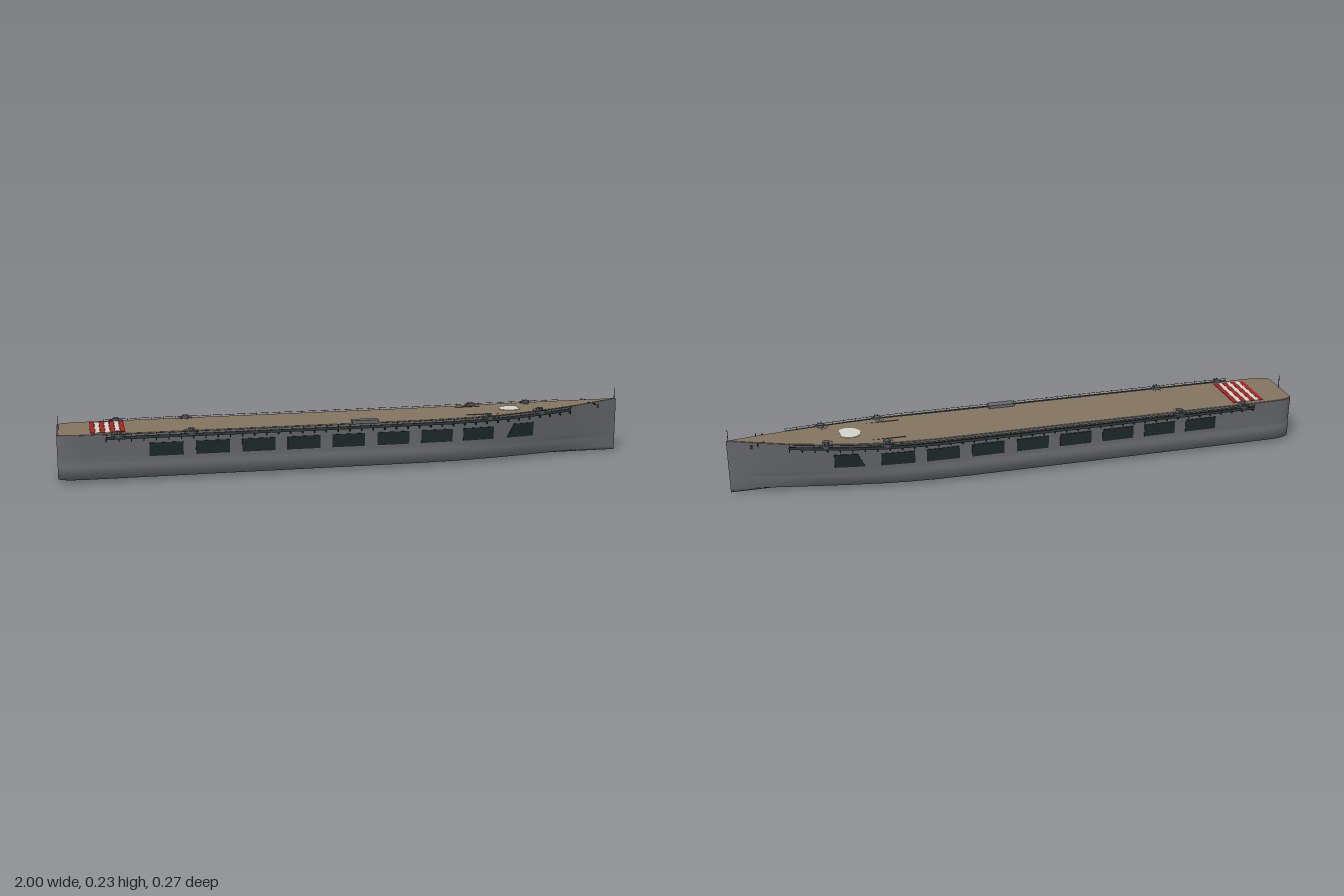
import * as THREE from 'three';

const mat = (name, color, side = THREE.FrontSide) => {
  const m = new THREE.MeshStandardMaterial({ color, side });
  m.name = name;
  return m;
};

// Piecewise-linear lookup in [x, value] pairs
function lookup(table, x) {
  for (let i = 1; i < table.length; i++) {
    const [x0, a] = table[i - 1], [x1, b] = table[i];
    if (x <= x1) return a + (b - a) * Math.max(0, (x - x0) / (x1 - x0));
  }
  return table[table.length - 1][1];
}

// Half-widths at deck and waterline, and the sheer of the deck
const DECK = [[-1, 0.086], [-0.99, 0.097], [-0.975, 0.104], [-0.95, 0.109], [-0.91, 0.111], [0.32, 0.111], [0.42, 0.109],
  [0.5, 0.104], [0.6, 0.092], [0.7, 0.076], [0.8, 0.056], [0.9, 0.03], [1, 0.0008]];
const WATER = [[-1, 0.086], [-0.99, 0.097], [-0.975, 0.104], [-0.95, 0.11], [-0.91, 0.113], [0.2, 0.113], [0.32, 0.11],
  [0.42, 0.103], [0.5, 0.093], [0.6, 0.077], [0.7, 0.058], [0.8, 0.038], [0.9, 0.018], [1, 0.0006]];
const deckW = (x) => lookup(DECK, x);
const waterW = (x) => lookup(WATER, x);
const topY = (x) => 0.162 + 0.028 * Math.max(0, (x - 0.2) / 0.8) ** 2;
const kneeW = (x) => deckW(x) * 0.4 + waterW(x) * 0.6 - 0.004 * waterW(x) / 0.113;
const sideW = (x, y) => THREE.MathUtils.mapLinear(y, 0.072, topY(x), kneeW(x), deckW(x));

// Skin cross-sections [z, y], ordered keel -> +z -> top -> -z, along x
function loft(xs, ring, flat = true) {
  const pos = [], idx = [], rings = xs.map(ring), n = rings[0].length;
  const add = (r, i) => r.forEach(([z, y]) => pos.push(xs[i], y, z));
  rings.forEach(add);
  for (let i = 0; i < xs.length - 1; i++) for (let j = 0; j < n; j++) {
    const k = (j + 1) % n, a = i * n + j, b = i * n + k, c = a + n, d = b + n;
    idx.push(a, c, b, b, c, d);
  }
  for (const end of [0, xs.length - 1]) {
    const s = pos.length / 3;
    add(rings[end], end);
    for (let j = 1; j < n - 1; j++) idx.push(s, ...(end ? [s + j + 1, s + j] : [s + j, s + j + 1]));
  }
  let g = new THREE.BufferGeometry();
  g.setAttribute('position', new THREE.Float32BufferAttribute(pos, 3));
  g.setIndex(idx);
  if (flat) g = g.toNonIndexed();
  g.computeVertexNormals();
  return g;
}

const rect = (za, zb, y0, y1) => {
  const lo = Math.min(za, zb), hi = Math.max(za, zb);
  return [[lo, y0], [hi, y0], [hi, y1], [lo, y1]];
};

export function createModel() {
  const root = new THREE.Group();
  root.name = 'carrierShip';
  const hullGrey = mat('hullGrey', 0x65676c);
  const deckTan = mat('deckTan', 0x83745f);
  const darkGreen = mat('darkGreen', 0x2b3836);
  const panelDark = mat('panelDark', 0x1d2929);
  const gunGrey = mat('gunGrey', 0x565b60, THREE.DoubleSide);
  const red = mat('stripeRed', 0xa82424);
  const white = mat('markingWhite', 0xd2d2c8);

  const add = (name, geo, m, x = 0, y = 0, z = 0, parent = root) => {
    const mesh = new THREE.Mesh(geo, m);
    mesh.name = name;
    mesh.position.set(x, y, z);
    parent.add(mesh);
    return mesh;
  };
  const box = (name, w, h, d, m, x, y, z, parent) => add(name, new THREE.BoxGeometry(w, h, d), m, x, y, z, parent);

  // Hull, with repeated points where the edge is sharp
  const stations = [-1, -0.99, -0.975, -0.95, -0.91, -0.8, -0.4, 0, 0.2, 0.26, 0.32, 0.37, 0.42, 0.46, 0.5, 0.55,
    0.6, 0.65, 0.7, 0.75, 0.8, 0.85, 0.9, 0.95, 1];
  add('hull', loft(stations, (x) => {
    const w = waterW(x), d = deckW(x), t = topY(x);
    const half = [[w * 0.5, 0.006], [w, 0.013], [w, 0.05], [(w + kneeW(x)) / 2, 0.062], [kneeW(x), 0.072],
      [sideW(x, 0.12), 0.12], [d, t], [d, t]];
    return [[0, 0], ...half, ...half.slice().reverse().map(([z, y]) => [-z, y])];
  }, false), hullGrey);

  // Flight deck planking
  add('flightDeck', loft(stations.map((x) => Math.max(-0.996, Math.min(0.994, x))), (x) => {
    const w = Math.max(0.0005, deckW(x) - 0.003);
    return rect(-w, w, topY(x) - 0.001, topY(x) + 0.0015);
  }), deckTan);

  // Landing stripes across the stern
  for (let i = 0; i < 7; i++) {
    box('landingStripe', 0.0155, 0.002, 0.18, i % 2 ? white : red, -0.883 + i * 0.0165, 0.1645, 0);
  }

  // Pale deck disc with a clipped forward edge
  const disc = new THREE.Shape();
  disc.absarc(0, 0, 0.04, 0.7, Math.PI * 2 - 0.7, false);
  const discMesh = add('deckDisc', new THREE.ExtrudeGeometry(disc, { depth: 0.002, bevelEnabled: false, curveSegments: 32 }),
    white, 0.593, topY(0.593) + 0.001, 0);
  discMesh.rotation.set(-Math.PI / 2, -Math.atan(0.035), 0);

  // Side walkways run along most of the deck edge
  const walk = [-0.84, -0.4, 0, 0.32, 0.42, 0.5, 0.6, 0.7, 0.8];
  const outer = (x) => deckW(x) + (x > 0.32 ? 0.019 - (x - 0.32) * 0.014 : 0.019);
  const panels = [-0.7, -0.545, -0.39, -0.235, -0.08, 0.078, 0.235, 0.388];

  for (const s of [1, -1]) {
    const side = new THREE.Group();
    side.name = s > 0 ? 'leftSide' : 'rightSide';
    root.add(side);
    const strip = (name, xs, ring, m) => add(name, loft(xs, ring), m, 0, 0, 0, side);

    strip('walkway', walk, (x) => rect(s * (deckW(x) - 0.006), s * outer(x), topY(x) - 0.014, topY(x) - 0.01), darkGreen);
    strip('walkwayScreen', walk, (x) => rect(s * (outer(x) - 0.0015), s * outer(x), topY(x) - 0.014, topY(x) - 0.004), darkGreen);
    strip('handrail', walk, (x) => rect(s * (outer(x) - 0.001), s * outer(x), topY(x) + 0.002, topY(x) + 0.003), darkGreen);
    for (let x = -0.84; x < 0.805; x += 0.041) {
      box('railPost', 0.0014, 0.017, 0.0014, darkGreen, x, topY(x) - 0.0035, s * (outer(x) - 0.001), side);
      box('walkwayBracket', 0.003, 0.012, 0.012, darkGreen, x, topY(x) - 0.018, s * (deckW(x) + 0.005), side);
    }

    // Dark hangar opening panels
    const panel = (xs, top) => strip('hangarPanel', xs, (x) => {
      const y1 = top(x), a = sideW(x, 0.083), b = sideW(x, y1);
      const r = [[s * (a - 0.004), 0.083], [s * (a + 0.003), 0.083], [s * (b + 0.003), y1], [s * (b - 0.004), y1]];
      return s > 0 ? r : r.reverse();
    }, panelDark);
    for (const x of panels) panel([x, x + 0.113], () => 0.128);
    panel([0.555, 0.578, 0.6, 0.656], (x) => (x < 0.57 ? 0.084 : 0.132));

    // Twin gun mounts in round tubs
    for (const x of [-0.8, -0.56, 0.48, 0.68]) {
      const gun = new THREE.Group();
      gun.name = 'gunMount';
      gun.position.set(x, topY(x), s * (outer(x) - 0.022));
      side.add(gun);
      add('tubWall', new THREE.CylinderGeometry(0.024, 0.022, 0.012, 20, 1, true), gunGrey, 0, -0.004, 0, gun);
      add('tubFloor', new THREE.CylinderGeometry(0.022, 0.018, 0.004, 20), darkGreen, 0, -0.011, 0, gun);
      add('turret', new THREE.CylinderGeometry(0.011, 0.013, 0.016, 14), gunGrey, 0, 0.002, 0, gun);
      for (const dx of [-0.005, 0.005]) {
        const barrel = add('barrel', new THREE.CylinderGeometry(0.0018, 0.0022, 0.03, 8), gunGrey, dx, 0.006, s * 0.012, gun);
        barrel.rotation.x = Math.PI / 2;
      }
    }

    // Bow fittings: outrigger, bollard, anchor
    box('bowOutrigger', 0.003, 0.003, 0.025, darkGreen, 0.9, topY(0.9) - 0.003, s * 0.042, side);
    box('bollard', 0.006, 0.005, 0.003, darkGreen, 0.88, topY(0.88) + 0.003, s * 0.033, side);
    box('anchor', 0.009, 0.012, 0.004, darkGreen, 0.92, 0.168, s * sideW(0.92, 0.168), side);
    box('windScreen', 0.13, 0.002, 0.0015, gunGrey, 0.475, topY(0.475) + 0.002, s * 0.07, side);
  }

  // Low deck house on the left edge
  box('deckHouse', 0.092, 0.012, 0.03, hullGrey, 0.035, 0.168, 0.104);

  // Flagstaffs at bow and stern
  for (const [x, len] of [[0.993, 0.04], [-0.994, 0.048]]) {
    add('flagstaff', new THREE.CylinderGeometry(0.001, 0.0012, len, 6), darkGreen, x, topY(x) + len / 2, 0);
  }
  return root;
}
